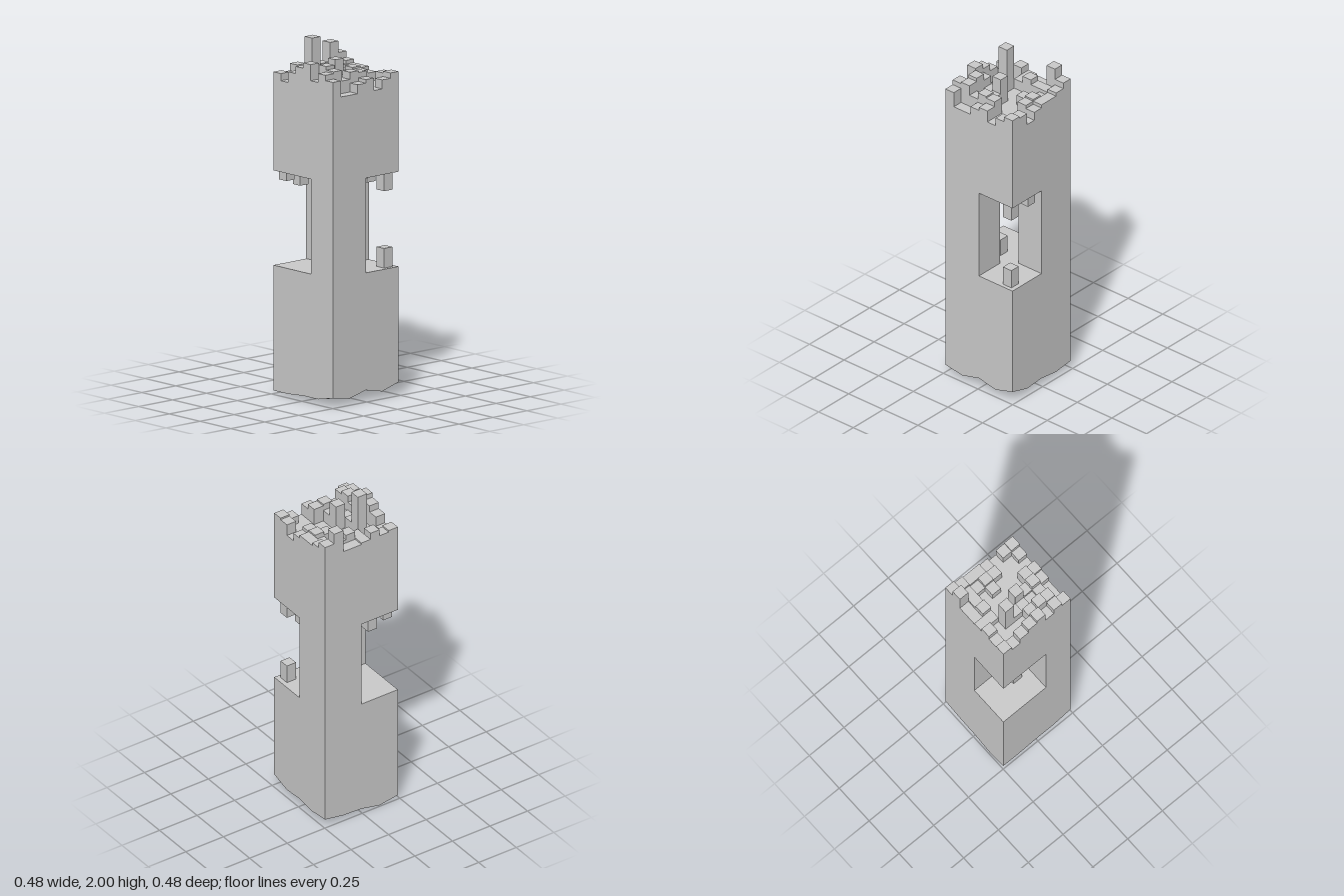
import * as THREE from 'three';

const H = 0.242, CELL = H / 4;
const FLOOR = 0.72, CEILING = 1.25, DECK = 1.73;

// Height of each crown column above the deck, in hundredths (rows run back to front)
const CROWN = [
  [7, 6, 10, 6, 5, 5, 19, 12.5],
  [3, 0, 0, 6, 10, 7, 7, 9],
  [9, 0, 27, 0, 0, 0, 5, 7],
  [13, 0, 7, 0, 0, 6, 8, 7],
  [16, 11, 6, 16, 0, 0, 7, 5],
  [7, 15, 5, 7, 0, 0, 0, 0],
  [12, 13, 7, 11, 10, 0, 0, 7],
  [9, 0, 0, 5, 7, 0, 5, 8],
];

// Coarse relief of the worn underside (rows run back to front)
const RELIEF = [
  [0.02, 0.0, 0.025, 0.03, 0.05],
  [0.02, 0.03, 0.04, 0.03, 0.035],
  [0.03, 0.04, 0.035, 0.04, 0.05],
  [0.03, 0.035, 0.05, 0.04, 0.04],
  [0.055, 0.035, 0.065, 0.04, 0.075],
];

function reliefAt(x, z) {
  const u = (x / H + 1) * 2, v = (z / H + 1) * 2;
  const i = Math.max(0, Math.min(3, Math.floor(u)));
  const j = Math.max(0, Math.min(3, Math.floor(v)));
  const row = (r) => THREE.MathUtils.lerp(RELIEF[r][i], RELIEF[r][i + 1], u - i);
  return THREE.MathUtils.lerp(row(j), row(j + 1), v - j);
}

export function createModel() {
  const tower = new THREE.Group();
  tower.name = 'tower';
  const stone = new THREE.MeshStandardMaterial({ color: 0xcccccc });

  function add(name, geometry, parent = tower) {
    const mesh = new THREE.Mesh(geometry, stone);
    mesh.name = name;
    parent.add(mesh);
    return mesh;
  }

  // Upright block between two heights, centred on x, z
  function block(name, x, z, width, y0, y1, parent) {
    const mesh = add(name, new THREE.BoxGeometry(width, y1 - y0, width), parent);
    mesh.position.set(x, (y0 + y1) / 2, z);
    return mesh;
  }

  // Upright pier from a plan outline of [x, z] corners
  function pier(name, corners) {
    const shape = new THREE.Shape(corners.map(([x, z]) => new THREE.Vector2(x, -z)));
    const geometry = new THREE.ExtrudeGeometry(shape, { depth: CEILING - FLOOR, bevelEnabled: false });
    geometry.rotateX(-Math.PI / 2);
    add(name, geometry).position.y = FLOOR;
  }

  // Lower shaft with an uneven underside
  const lower = new THREE.BoxGeometry(2 * H, FLOOR, 2 * H, 8, 1, 8);
  lower.translate(0, FLOOR / 2, 0);
  const p = lower.attributes.position;
  for (let i = 0; i < p.count; i++) {
    if (p.getY(i) < 0.01) p.setY(i, reliefAt(p.getX(i), p.getZ(i)));
  }
  lower.computeVertexNormals();
  add('lowerShaft', lower);

  // Two piers leave opposite corners open, joined by a narrow passage
  pier('backLeftPier', [[0, -H], [H, -H], [H, 0], [0.075, 0], [0.075, -0.12], [0, -0.12]]);
  pier('frontRightPier', [[-H, 0.065], [0, 0.065], [0, H], [-H, H]]);

  // Upper shaft
  block('upperShaft', 0, 0, 2 * H, CEILING, DECK);

  // Crown of uneven square columns
  const crown = new THREE.Group();
  crown.name = 'crown';
  tower.add(crown);
  CROWN.forEach((row, r) => row.forEach((height, c) => {
    if (height === 0) return;
    block('crownColumn', (c - 3.5) * CELL, (r - 3.5) * CELL, CELL, DECK, DECK + height / 100, crown);
  }));

  // Blocks hanging from the ceiling of the openings: x, z, length
  const hanging = [
    [0.185, 0.19, 0.1], [0.185, 0.052, 0.075], [0.09, 0.095, 0.04],
    [-0.093, -0.185, 0.09], [-0.19, -0.19, 0.05],
  ];
  for (const [x, z, length] of hanging) block('hangingBlock', x, z, CELL, CEILING - length, CEILING);

  // Blocks standing on the floor of the openings: x, z, height
  for (const [x, z, height] of [[0.185, 0.19, 0.11], [-0.08, -0.025, 0.1]]) {
    block('standingBlock', x, z, CELL, FLOOR, FLOOR + height);
  }

  return tower;
}
